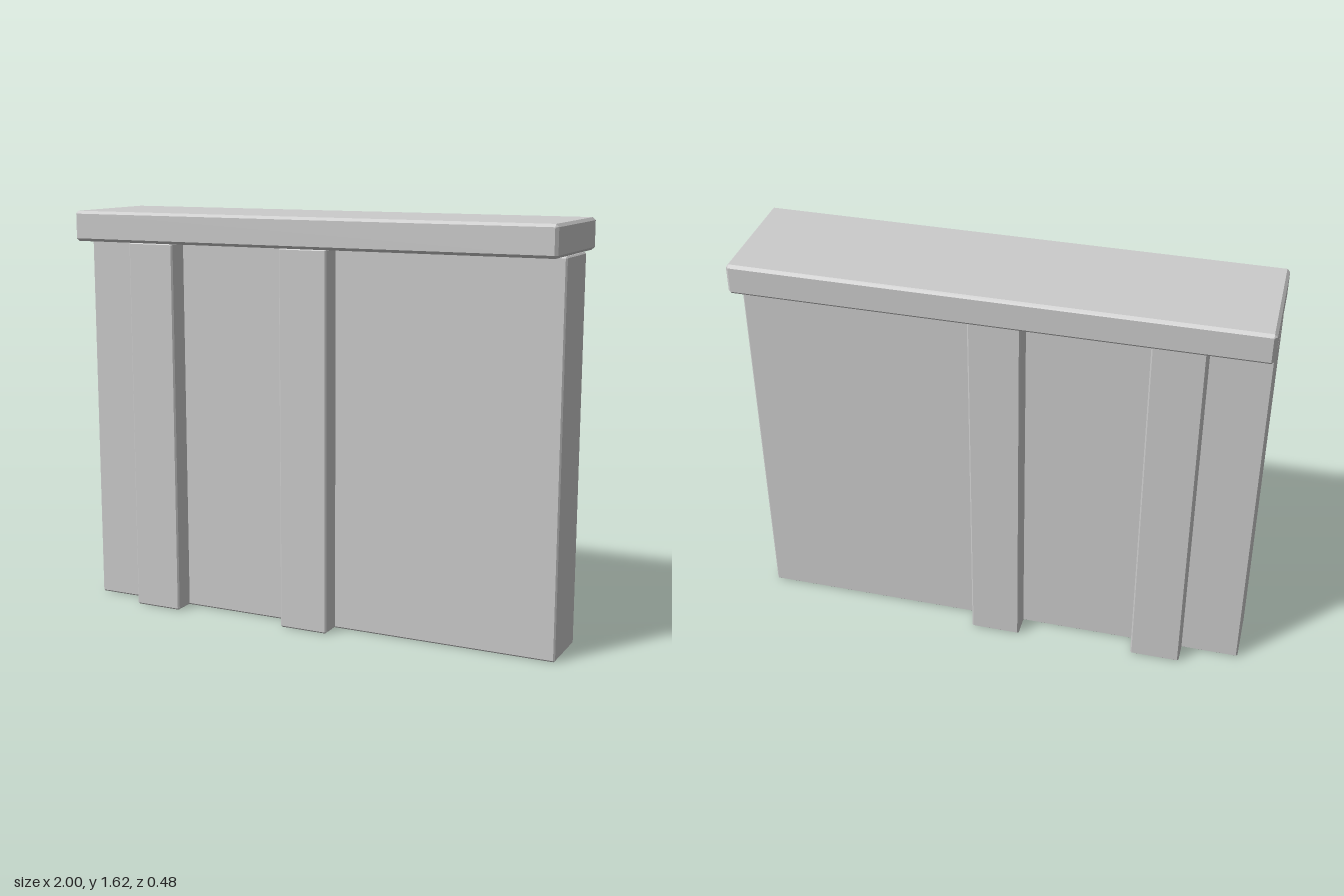
import * as THREE from 'three';
import { ConvexGeometry } from 'three/addons/geometries/ConvexGeometry.js';

const material = new THREE.MeshStandardMaterial({ color: 0xcccccc, flatShading: true });

// Box with all twelve edges chamfered, given by its size and its bottom height
function chamferedBox(name, width, height, depth, x, bottom, chamfer) {
  const half = new THREE.Vector3(width, height, depth).multiplyScalar(0.5);
  const points = [];
  for (const sx of [-1, 1]) for (const sy of [-1, 1]) for (const sz of [-1, 1]) {
    // Three points per corner, one on each adjoining face
    for (let axis = 0; axis < 3; axis++) {
      const p = half.clone().subScalar(chamfer);
      p.setComponent(axis, half.getComponent(axis));
      points.push(p.multiply(new THREE.Vector3(sx, sy, sz)));
    }
  }
  const mesh = new THREE.Mesh(new ConvexGeometry(points), material);
  mesh.name = name;
  mesh.position.set(x, bottom + height / 2, 0);
  return mesh;
}

export function createModel() {
  const group = new THREE.Group();
  group.name = 'wallSection';

  // Thin main slab
  group.add(chamferedBox('wallPanel', 2, 1.5, 0.24, 0, 0, 0.006));

  // Pilasters running through the slab and standing proud on both sides
  [['endPilaster', -0.67], ['middlePilaster', 0]].forEach(([name, x]) => {
    group.add(chamferedBox(name, 0.2, 1.5, 0.41, x, 0, 0.006));
  });

  // Overhanging coping
  group.add(chamferedBox('coping', 2, 0.12, 0.48, 0, 1.5, 0.011));

  return group;
}
